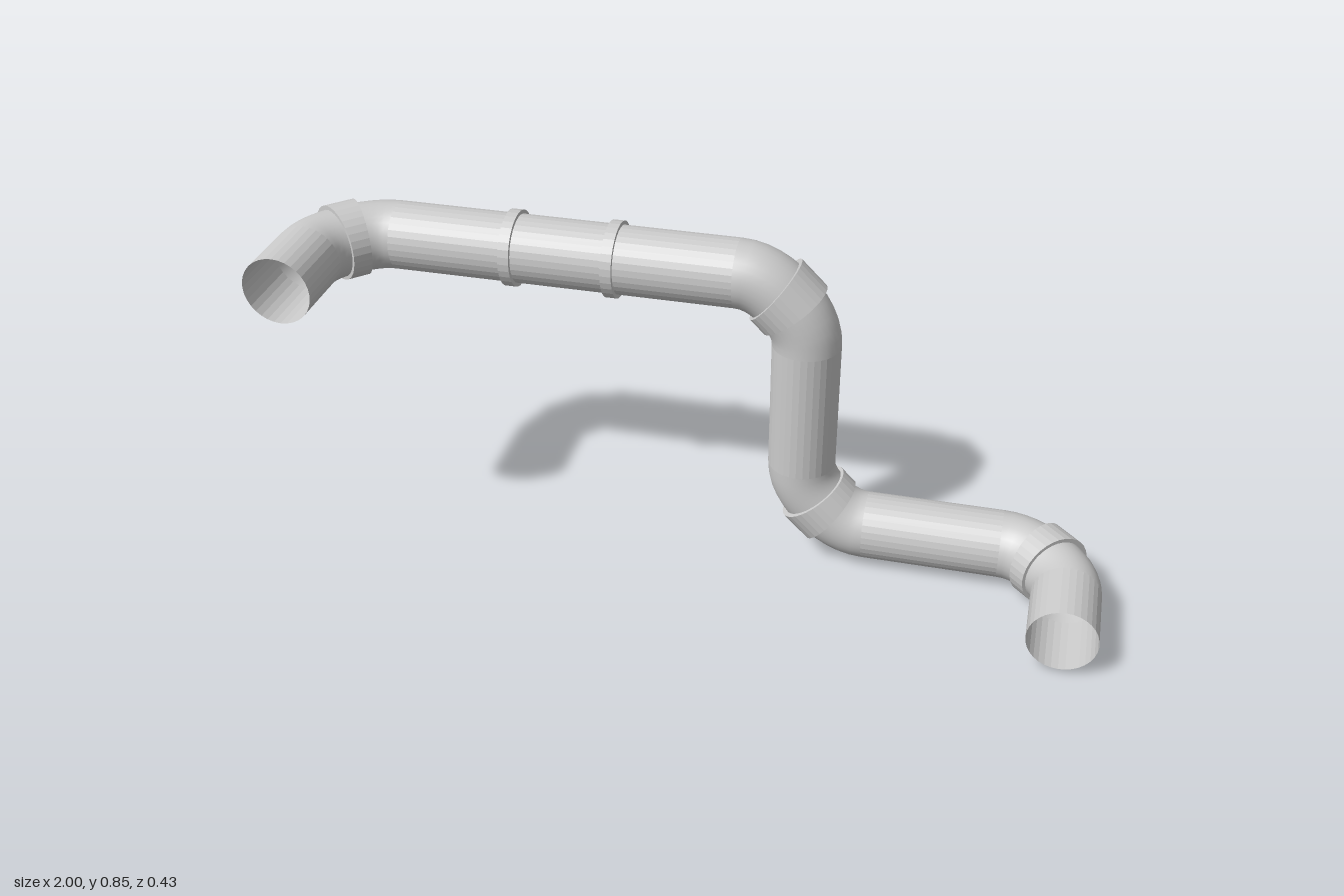
import * as THREE from 'three';

const PIPE = 0.0825, BAND = 0.092, BEND = 0.167, SIDES = 32;

const flatMat = new THREE.MeshStandardMaterial({ color: 0xcccccc, flatShading: true, side: THREE.DoubleSide });
const smoothMat = new THREE.MeshStandardMaterial({ color: 0xcccccc, side: THREE.DoubleSide });

// Skin a list of rings {c: centre, o: outward axis, t: tangent, r: radius, skew(d): shift along t}
function loft(name, rings, smooth) {
  const pos = [], index = [];
  rings.forEach(({ c, o, t, r, skew }, i) => {
    const b = t.clone().cross(o);
    for (let j = 0; j < SIDES; j++) {
      const a = (j / SIDES) * Math.PI * 2, d = r * Math.cos(a);
      const p = c.clone().addScaledVector(o, d).addScaledVector(b, r * Math.sin(a));
      if (skew) p.addScaledVector(t, skew(d));
      pos.push(p.x, p.y, p.z);
      if (i < rings.length - 1) {
        const k = (j + 1) % SIDES, A = i * SIDES + j, B = i * SIDES + k;
        index.push(A, B, A + SIDES, B, B + SIDES, A + SIDES);
      }
    }
  });
  let geo = new THREE.BufferGeometry();
  geo.setAttribute('position', new THREE.Float32BufferAttribute(pos, 3));
  geo.setIndex(index);
  if (!smooth) geo = geo.toNonIndexed();
  geo.computeVertexNormals();
  const mesh = new THREE.Mesh(geo, smooth ? smoothMat : flatMat);
  mesh.name = name;
  return mesh;
}

// Raised band; its width may grow toward the outside of a bend
function band(name, c, o, t, half, taper) {
  const ring = (r, s) => ({ c, o, t, r, skew: d => s * (half + taper * d) });
  return loft(name, [ring(PIPE - 0.004, -1), ring(BAND, -1), ring(BAND, 1), ring(PIPE - 0.004, 1)]);
}

// Quarter bend at a corner, incoming direction a, outgoing direction n
function elbow(corner, a, n) {
  const group = new THREE.Group();
  group.name = 'elbow';
  const centre = corner.clone().addScaledVector(a, -BEND).addScaledVector(n, BEND);
  const frame = th => {
    const o = a.clone().multiplyScalar(Math.sin(th)).addScaledVector(n, -Math.cos(th));
    const t = a.clone().multiplyScalar(Math.cos(th)).addScaledVector(n, Math.sin(th));
    const rho = BEND * (1 - 0.05 * Math.sin(2 * th) ** 2);
    return { c: centre.clone().addScaledVector(o, rho), o, t, r: PIPE };
  };
  const rings = [];
  for (let i = 0; i <= 12; i++) rings.push(frame((i / 12) * Math.PI / 2));
  group.add(loft('elbowPipe', rings, true));
  const m = frame(Math.PI / 4);
  group.add(band('elbowCollar', m.c, m.o, m.t, 0.033, 0.115));
  return group;
}

export function createModel() {
  const model = new THREE.Group();
  model.name = 'pipeRun';

  // Centre line, from the upper open end to the lower open end
  const path = [
    [-0.9175, 0.758, 0.213], [-0.9175, 0.758, -0.122], [0.25, 0.758, -0.122],
    [0.25, 0.093, -0.122], [0.9175, 0.093, -0.122], [0.9175, 0.093, 0.213],
  ].map(p => new THREE.Vector3(...p));
  const dir = path.slice(1).map((p, i) => p.clone().sub(path[i]).normalize());

  dir.forEach((t, i) => {
    const first = i === 0, last = i === dir.length - 1;
    // Straight length between bends
    const start = path[i].clone().addScaledVector(t, first ? 0 : BEND);
    const end = path[i + 1].clone().addScaledVector(t, last ? 0 : -BEND);
    const o = first ? dir[1].clone().negate() : dir[i - 1].clone();
    model.add(loft('straightPipe', [start, end].map(c => ({ c, o, t, r: PIPE })), false));
    if (!last) model.add(elbow(path[i + 1], t, dir[i + 1]));
  });

  // Coupling rings on the upper run
  for (const x of [-0.46, -0.212]) {
    const c = new THREE.Vector3(x, 0.758, -0.122);
    model.add(band('couplingRing', c, new THREE.Vector3(0, 1, 0), dir[1], 0.0135, 0));
  }
  return model;
}
